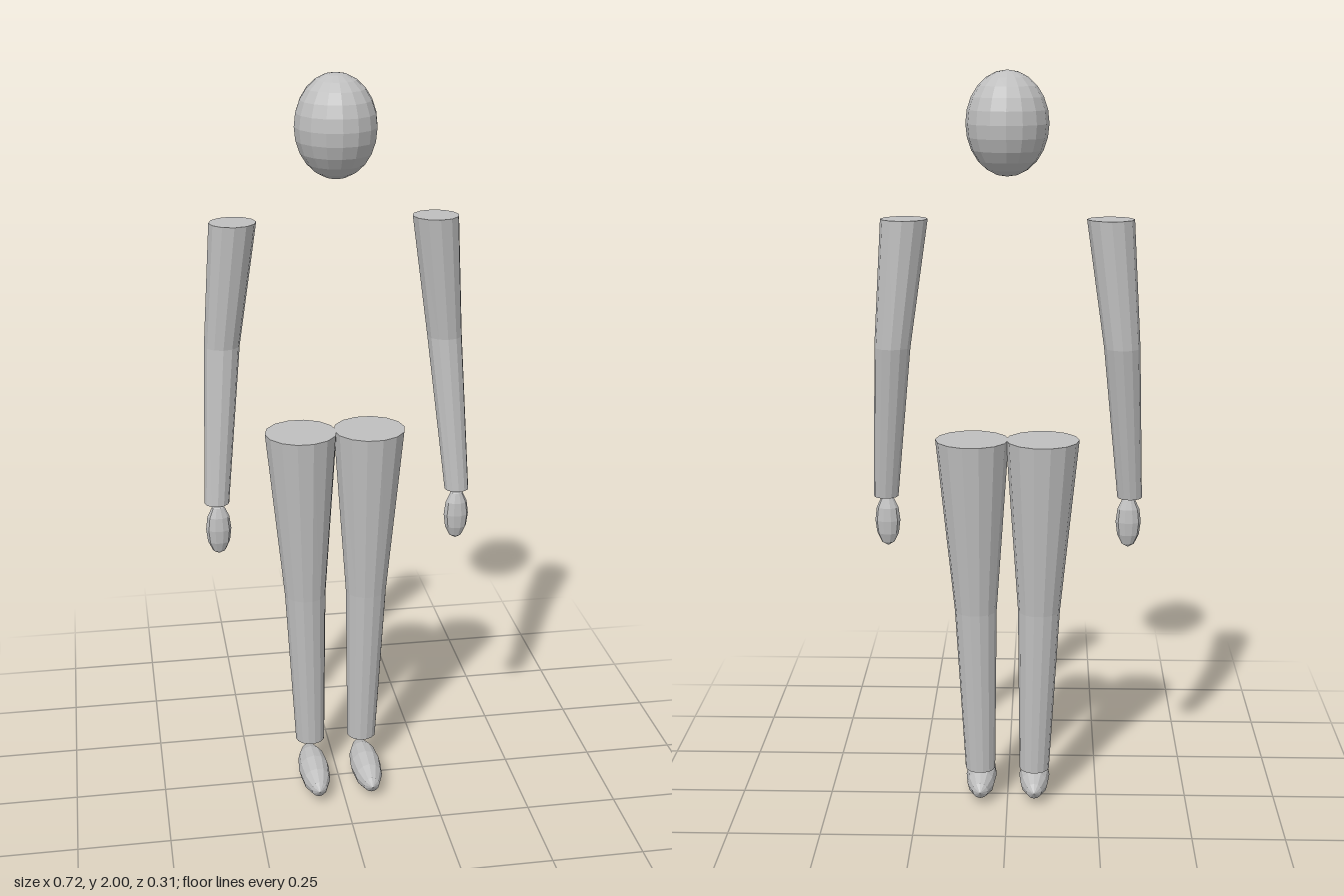
import * as THREE from 'three';

const clay = new THREE.MeshStandardMaterial({ color: 0xbfbfbf, flatShading: true });
clay.name = 'light grey';

// Closed limb through horizontal rings [x, y, z, radiusX, radiusZ], listed from top to bottom
function limbGeometry(rings, sides) {
  const pos = [], index = [];
  const ring = ([x, y, z, rx, rz]) => {
    const start = pos.length / 3;
    for (let i = 0; i < sides; i++) {
      const a = (i / sides) * Math.PI * 2;
      pos.push(x + Math.cos(a) * rx, y, z + Math.sin(a) * rz);
    }
    return start;
  };
  const starts = rings.map(ring);
  for (let k = 0; k < starts.length - 1; k++) {
    for (let i = 0; i < sides; i++) {
      const j = (i + 1) % sides, t = starts[k], b = starts[k + 1];
      index.push(t + i, t + j, b + i, t + j, b + j, b + i);
    }
  }
  // Separate vertices for the flat end caps
  const top = ring(rings[0]), bottom = ring(rings[rings.length - 1]);
  for (let i = 1; i < sides - 1; i++) {
    index.push(top, top + i + 1, top + i, bottom, bottom + i, bottom + i + 1);
  }
  const g = new THREE.BufferGeometry();
  g.setAttribute('position', new THREE.Float32BufferAttribute(pos, 3));
  g.setIndex(index);
  g.computeVertexNormals();
  return g;
}

function ellipsoid(rx, ry, rz, around, rows, poleAlongZ = false) {
  const g = new THREE.SphereGeometry(1, around, rows);
  if (poleAlongZ) g.rotateX(Math.PI / 2);
  return g.scale(rx, ry, rz);
}

export function createModel() {
  const model = new THREE.Group();
  model.name = 'figure';
  const add = (name, geometry, x = 0, y = 0, z = 0) => {
    const mesh = new THREE.Mesh(geometry, clay);
    mesh.name = name;
    mesh.position.set(x, y, z);
    model.add(mesh);
  };

  add('head', ellipsoid(0.106, 0.132, 0.117, 16, 12), 0, 1.868, -0.038);

  for (const [side, s] of [['left', 1], ['right', -1]]) {
    // Arm: shoulder, elbow, wrist
    add(side + 'Arm', limbGeometry([
      [s * 0.264, 1.63, -0.05, 0.061, 0.061],
      [s * 0.298, 1.3, -0.064, 0.047, 0.046],
      [s * 0.328, 0.88, -0.003, 0.033, 0.03],
    ], 12));
    add(side + 'Hand', ellipsoid(0.034, 0.072, 0.024, 10, 6), s * 0.326, 0.809, 0.007);

    // Leg: hip, knee, ankle
    add(side + 'Leg', limbGeometry([
      [s * 0.0935, 1.05, -0.05, 0.0975, 0.0975],
      [s * 0.086, 0.57, -0.044, 0.057, 0.055],
      [s * 0.075, 0.105, -0.046, 0.041, 0.04],
    ], 14));
    add(side + 'Foot', ellipsoid(0.043, 0.045, 0.121, 12, 6, true), s * 0.075, 0.045, 0.031);
  }
  return model;
}
